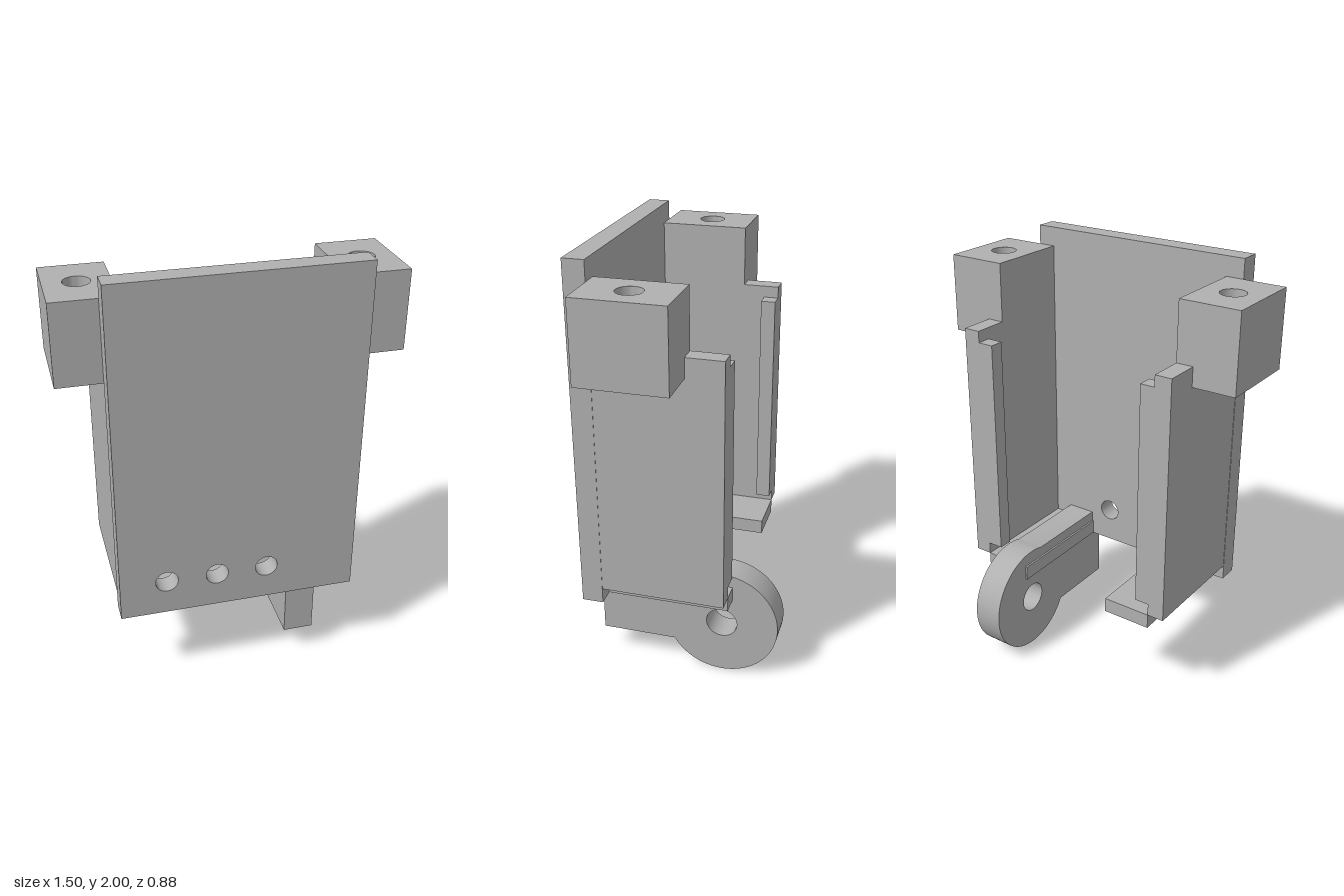
import * as THREE from 'three';
import { toCreasedNormals } from 'three/addons/utils/BufferGeometryUtils.js';

const grey = new THREE.MeshStandardMaterial({ color: 0xb0b0b0 });
grey.name = 'plain grey';

function add(parent, name, geometry) {
  const mesh = new THREE.Mesh(geometry, grey);
  mesh.name = name;
  parent.add(mesh);
  return mesh;
}

// Box given by its lower and upper limits on each axis
function box(parent, name, [x0, x1], [y0, y1], [z0, z1]) {
  const mesh = add(parent, name, new THREE.BoxGeometry(x1 - x0, y1 - y0, z1 - z0));
  mesh.position.set((x0 + x1) / 2, (y0 + y1) / 2, (z0 + z1) / 2);
  return mesh;
}

function rectShape(x0, x1, y0, y1) {
  return new THREE.Shape([[x0, y0], [x1, y0], [x1, y1], [x0, y1]].map(p => new THREE.Vector2(...p)));
}

function drill(shape, x, y, r) {
  shape.holes.push(new THREE.Path().absarc(x, y, r, 0, Math.PI * 2, true));
}

function extrude(shape, depth) {
  const g = new THREE.ExtrudeGeometry(shape, { depth, bevelEnabled: false, curveSegments: 40 });
  return toCreasedNormals(g, 0.5);
}

export function createModel() {
  const model = new THREE.Group();
  model.name = 'bracket';

  // Front plate with three round holes
  const plate = rectShape(-0.55, 0.55, 0.4, 2);
  for (const x of [-0.335, -0.102, 0.13]) drill(plate, x, 0.57, 0.052);
  add(model, 'frontPlate', extrude(plate, 0.097)).position.z = 0.343;

  for (const s of [-1, 1]) {
    const side = new THREE.Group();
    side.name = s > 0 ? 'leftSide' : 'rightSide';
    model.add(side);
    const span = (a, b) => (s > 0 ? [a, b] : [-b, -a]);

    // Wall, inner lip along its back edge, and bottom ledge
    box(side, 'sideWall', span(0.468, 0.548), [0.472, 1.636], [-0.225, 0.343]);
    box(side, 'backLip', span(s > 0 ? 0.393 : 0.4, 0.468), [0.53, 1.582], [-0.225, -0.157]);
    box(side, 'bottomLedge', span(s > 0 ? 0.232 : 0.235, 0.468), [0.402, 0.472], [-0.225, 0.343]);

    // Mounting block: solid base, drilled top and tapered blind hole
    const [x0, x1] = span(0.468, 0.75);
    const base = 1.545, floor = 1.66, top = 1.91;
    box(side, 'blockBase', [x0, x1], [base, floor], [-0.058, 0.343]);
    const shape = rectShape(x0, x1, -0.343, 0.058);
    drill(shape, s * 0.609, -0.14, 0.058);
    const block = extrude(shape, top - floor);
    block.rotateX(-Math.PI / 2);
    add(side, 'blockTop', block).position.y = floor;
    const lining = new THREE.LatheGeometry([
      new THREE.Vector2(0.058, top),
      new THREE.Vector2(0.052, floor + 0.002),
      new THREE.Vector2(0, floor + 0.002),
    ], 40);
    add(side, 'blindHole', toCreasedNormals(lining, 0.5)).position.set(s * 0.609, 0, 0.14);
  }

  // Pivot arm: straight bar ending in a round eye
  const cz = -0.175, cy = 0.269, r = 0.265, low = 0.137, high = 0.523;
  const arm = new THREE.Shape();
  arm.moveTo(0.407, low);
  arm.lineTo(0.407, high);
  arm.absarc(cz, cy, r, Math.asin((high - cy) / r), Math.PI * 2 + Math.asin((low - cy) / r), false);
  arm.closePath();
  drill(arm, cz, cy, 0.073);
  const armGeometry = extrude(arm, 0.14);
  armGeometry.rotateY(-Math.PI / 2);
  add(model, 'pivotArm', armGeometry).position.x = 0.381;

  return model;
}
